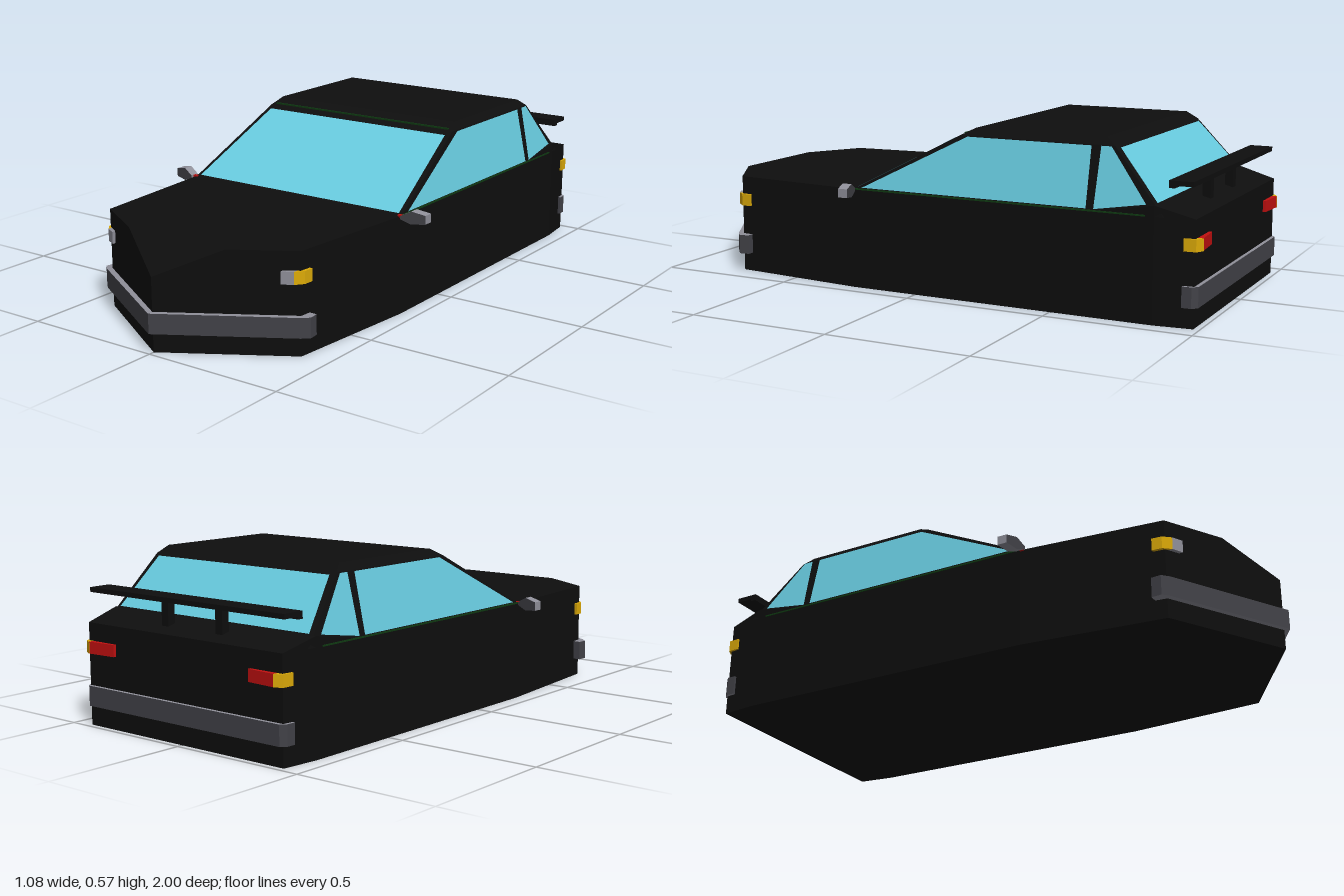
import * as THREE from 'three';

const mat = (name, color, side = THREE.FrontSide) => {
  const m = new THREE.MeshStandardMaterial({ color, side });
  m.name = name;
  return m;
};

export function createModel() {
  const paint = mat('black paint', 0x0e0e0e);
  const glass = mat('blue glass', 0x68cce0, THREE.DoubleSide);
  const dark = mat('dark grey plastic', 0x424248);
  const light = mat('light grey', 0x90909a);
  const amber = mat('amber lamp', 0xdcaa08);
  const red = mat('red lamp', 0xc01010);
  const green = mat('dark green seal', 0x0f3a12);

  const model = new THREE.Group();
  model.name = 'car';
  const add = (name, geo, material) => {
    const mesh = new THREE.Mesh(geo, material);
    mesh.name = name;
    model.add(mesh);
    return mesh;
  };
  const box = (name, m, w, h, d, x, y, z) =>
    add(name, new THREE.BoxGeometry(w, h, d).translate(x, y, z), m);

  // Plan outline of [x, z] points, extruded upwards
  const prism = (name, pts, y0, y1, m) => {
    const shape = new THREE.Shape(pts.map(([x, z]) => new THREE.Vector2(x, -z)));
    const geo = new THREE.ExtrudeGeometry(shape, { depth: y1 - y0, bevelEnabled: false });
    return add(name, geo.rotateX(-Math.PI / 2).translate(0, y0, 0), m);
  };

  // Flat-sided surface from a list of four-cornered faces
  const faces = (name, quads, m) => {
    const pos = [];
    for (const [a, b, c, d] of quads) pos.push(...a, ...b, ...c, ...a, ...c, ...d);
    const geo = new THREE.BufferGeometry();
    geo.setAttribute('position', new THREE.Float32BufferAttribute(pos, 3));
    geo.computeVertexNormals();
    return add(name, geo, m);
  };

  // Lower body: half width, top height and z of each cross-section, nose to tail
  const sections = [
    [0, 0.25, 0.98], [0.2, 0.345, 0.86], [0.4, 0.345, 0.74], [0.445, 0.345, 0.24],
    [0.445, 0.345, -0.65], [0.445, 0.38, -0.85], [0.43, 0.345, -0.98],
  ];
  const ring = ([x, y, z]) => [[-x, 0, z], [x, 0, z], [x, y, z], [-x, y, z]];
  const shell = [];
  for (let i = 0; i < sections.length - 1; i++) {
    const a = ring(sections[i]), b = ring(sections[i + 1]);
    for (let k = 0; k < 4; k++) {
      const n = (k + 1) % 4;
      shell.push([a[k], b[k], b[n], a[n]]);
    }
  }
  const tail = ring(sections[sections.length - 1]);
  shell.push([tail[1], tail[0], tail[3], tail[2]]);
  faces('body', shell, paint);

  // Cabin: half width, height, front z and rear z of each level
  const levels = [
    [0.445, 0.345, 0.24, -0.881], [0.4, 0.55, -0.152, -0.7], [0.38, 0.575, -0.2, -0.665],
  ].map(([x, y, f, r]) => [[-x, y, f], [x, y, f], [x, y, r], [-x, y, r]]);
  const cabin = [levels[2]];
  for (let i = 0; i < 2; i++) {
    for (let k = 0; k < 4; k++) {
      const n = (k + 1) % 4;
      cabin.push([levels[i][k], levels[i][n], levels[i + 1][n], levels[i + 1][k]]);
    }
  }
  faces('cabin', cabin, paint);

  // Front and rear glass, just clear of the cabin faces
  const frontZ = (y) => 0.24 - (y - 0.345) * 1.912 + 0.005;
  const rearZ = (y) => -0.881 + (y - 0.345) * 0.883 - 0.005;
  const pane = (name, zAt, xLow, yLow, xTop, yTop) => faces(name, [[
    [-xLow, yLow, zAt(yLow)], [xLow, yLow, zAt(yLow)],
    [xTop, yTop, zAt(yTop)], [-xTop, yTop, zAt(yTop)],
  ]], glass);
  pane('windshield', frontZ, 0.43, 0.35, 0.385, 0.54);
  pane('rearWindow', rearZ, 0.42, 0.384, 0.38, 0.543);
  box('windshieldSeal', green, 0.76, 0.006, 0.006, 0, 0.555, -0.16);

  for (const s of [1, -1]) {
    const side = s > 0 ? 'left' : 'right';
    const at = (pts) => pts.map(([x, z]) => [x * s, z]);

    // Side windows, given as [z, y] on the sloping cabin side
    const sidePane = (name, pts) => faces(side + name, [pts.map(([z, y]) =>
      [s * (0.449 - (y - 0.345) * 0.2195), y, z])], glass);
    sidePane('DoorWindow', [[0.205, 0.352], [-0.18, 0.547], [-0.622, 0.547], [-0.622, 0.352]]);
    sidePane('QuarterWindow', [[-0.648, 0.352], [-0.655, 0.548], [-0.69, 0.548], [-0.822, 0.38]]);
    box(side + 'BeltSeal', green, 0.006, 0.005, 1.06, s * 0.445, 0.346, -0.29);

    // Lamps wrapping round the corners
    prism(side + 'Headlight', at([[0.353, 0.782], [0.39, 0.762], [0.39, 0.72], [0.353, 0.72]]),
      0.24, 0.282, light);
    prism(side + 'FrontIndicator', at([[0.39, 0.762], [0.412, 0.735], [0.414, 0.7], [0.39, 0.7]]),
      0.24, 0.282, amber);
    prism(side + 'TailLight', at([[0.3, -0.96], [0.41, -0.96], [0.41, -0.998], [0.3, -0.99]]),
      0.245, 0.285, red);
    prism(side + 'RearIndicator', at([[0.41, -0.945], [0.441, -0.945], [0.438, -0.985], [0.41, -1]]),
      0.245, 0.285, amber);

    // Door mirror: tapered front outline, swept back towards the tip
    const outline = [[0.452, 0.34], [0.49, 0.325], [0.538, 0.33], [0.538, 0.36], [0.49, 0.37], [0.452, 0.35]];
    const geo = new THREE.ExtrudeGeometry(
      new THREE.Shape(outline.map(([x, y]) => new THREE.Vector2(x * s, y))),
      { depth: 0.035, bevelEnabled: false });
    const p = geo.attributes.position;
    for (let i = 0; i < p.count; i++) {
      p.setZ(i, p.getZ(i) + 0.23 - (Math.abs(p.getX(i)) - 0.445) * 0.25);
    }
    geo.computeVertexNormals();
    add(side + 'Mirror', geo, [dark, light]);
    box(side + 'MirrorStalk', red, 0.02, 0.01, 0.012, s * 0.447, 0.345, 0.247);

    // Spoiler support
    box(side + 'SpoilerPost', paint, 0.03, 0.09, 0.028, s * 0.12, 0.4, -0.915);
  }

  // Bumpers, mirrored from one half; light caps, dark faces
  const bumper = (name, outer, inner) => {
    const half = [...outer, ...inner];
    const flip = half.filter(([x]) => x > 0).reverse().map(([x, z]) => [-x, z]);
    const mid = outer.length;
    const h = flip.length - (inner.length - 1);
    const pts = [...half, ...flip.slice(0, inner.length - 1), ...flip.slice(flip.length - h)];
    prism(name, pts, 0.067, 0.135, [light, dark]).userData.corners = mid;
  };
  bumper('frontBumper', [[0, 1], [0.41, 0.757], [0.434, 0.735], [0.43, 0.7]],
    [[0.395, 0.7], [0.395, 0.735], [0, 0.97]]);
  bumper('rearBumper', [[0, -0.992], [0.425, -0.992], [0.442, -0.975], [0.443, -0.943]],
    [[0.42, -0.943], [0.42, -0.97], [0, -0.97]]);

  // Rear spoiler blade with a small front lip
  box('spoilerBlade', paint, 0.86, 0.016, 0.08, 0, 0.452, -0.93);
  box('spoilerLip', paint, 0.86, 0.01, 0.02, 0, 0.441, -0.9);

  return model;
}
